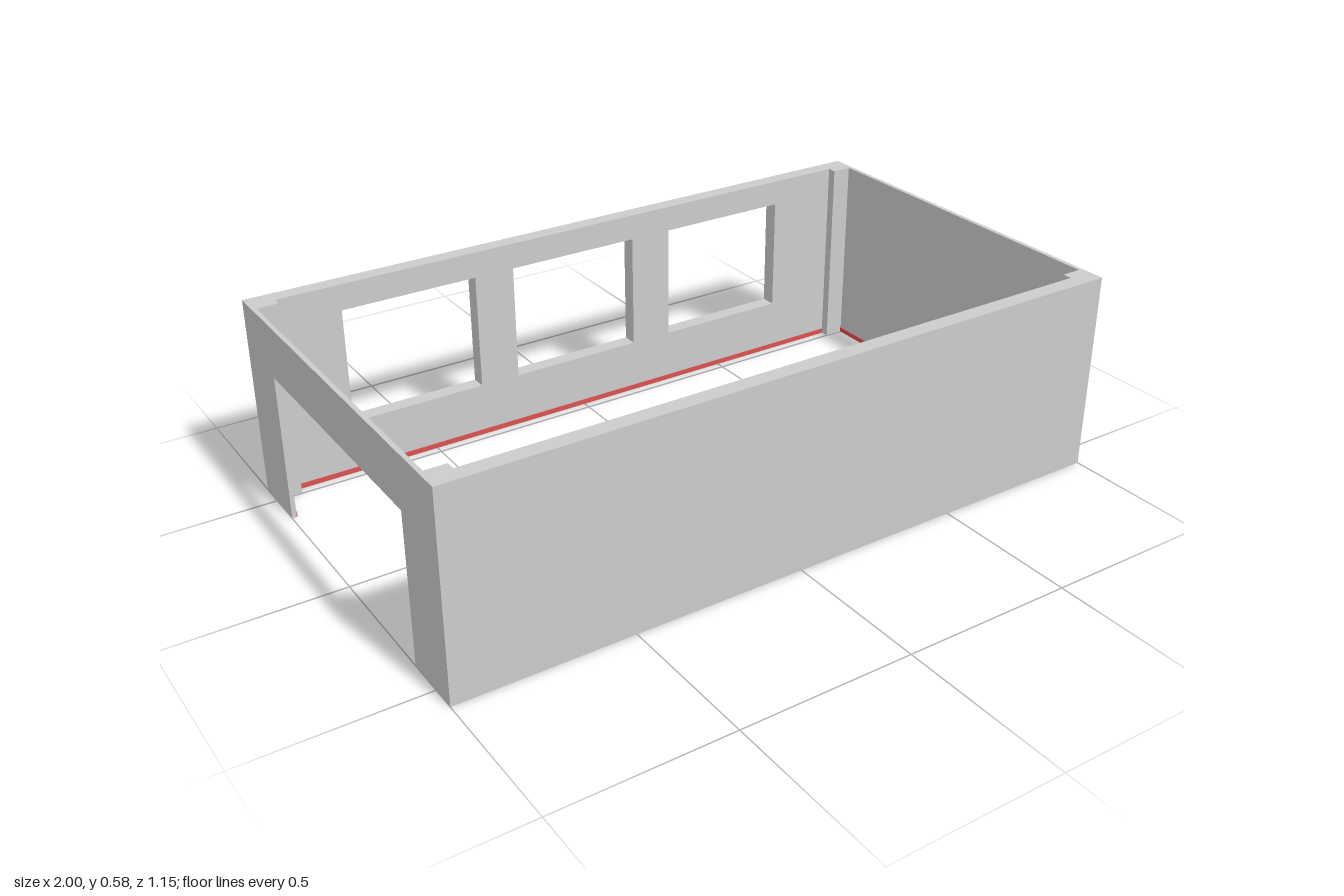
import * as THREE from 'three';

const W = 1, D = 0.573, H = 0.58;      // half width, half depth, height
const THICK = 0.046, THIN = 0.013;     // long walls, end walls
const POST_X = 0.928, POST_Z = 0.5;    // inner faces of the corner posts
const DOOR_Z = 0.39, DOOR_H = 0.428;   // opening in the left-hand end
const TRIM_H = 0.015, TRIM_T = 0.002;

const grey = new THREE.MeshStandardMaterial({ color: 0xcccccc, flatShading: true });
const red = new THREE.MeshStandardMaterial({ color: 0xd9534f });

// Box given by its minimum and maximum corners
function box(name, x0, x1, y0, y1, z0, z1, material = grey) {
  const geometry = new THREE.BoxGeometry(x1 - x0, y1 - y0, z1 - z0);
  geometry.translate((x0 + x1) / 2, (y0 + y1) / 2, (z0 + z1) / 2);
  const mesh = new THREE.Mesh(geometry, material);
  mesh.name = name;
  return mesh;
}

function polygon(points, Type = THREE.Shape) {
  return new Type(points.map(([x, y]) => new THREE.Vector2(x, y)));
}

function panel(name, shape, depth) {
  const mesh = new THREE.Mesh(new THREE.ExtrudeGeometry(shape, { depth, bevelEnabled: false }), grey);
  mesh.name = name;
  return mesh;
}

export function createModel() {
  const group = new THREE.Group();
  group.name = 'buildingStorey';

  // Solid long front wall and solid end wall
  group.add(box('frontWall', -W, W, 0, H, D - THICK, D));
  group.add(box('solidEndWall', W - THIN, W, 0, H, -D + THICK, D - THICK));

  // Back wall with three windows
  const back = polygon([[-W, 0], [W, 0], [W, H], [-W, H]]);
  for (const x of [-0.545, -0.02, 0.513]) {
    const l = x - 0.202, r = x + 0.202, b = 0.16, t = 0.504;
    back.holes.push(polygon([[l, b], [l, t], [r, t], [r, b]], THREE.Path));
  }
  const backWall = panel('backWall', back, THICK);
  backWall.position.z = -D;
  group.add(backWall);

  // End wall with a wide opening down to the ground
  const e = D - THICK;
  const endWall = panel('openEndWall', polygon([
    [-e, 0], [-DOOR_Z, 0], [-DOOR_Z, DOOR_H], [DOOR_Z, DOOR_H],
    [DOOR_Z, 0], [e, 0], [e, H], [-e, H],
  ]), THIN);
  endWall.rotation.y = Math.PI / 2;
  endWall.position.x = -W;
  group.add(endWall);

  // Inner corner posts and the base trim along the long walls
  for (const s of [-1, 1]) {
    const zs = [s * POST_Z, s * e].sort((a, b) => a - b);
    for (const t of [-1, 1]) {
      const xs = [t * POST_X, t * (W - THIN)].sort((a, b) => a - b);
      group.add(box('cornerPost', xs[0], xs[1], 0, H, zs[0], zs[1]));
    }
    const zt = [s * e, s * (e - TRIM_T)].sort((a, b) => a - b);
    group.add(box('longWallTrim', -POST_X, POST_X, 0, TRIM_H, zt[0], zt[1], red));

    // Short trim between post and opening
    const zd = [s * DOOR_Z, s * POST_Z].sort((a, b) => a - b);
    group.add(box('openEndTrim', -W + THIN, -W + THIN + TRIM_T, 0, TRIM_H, zd[0], zd[1], red));
  }
  group.add(box('solidEndTrim', W - THIN - TRIM_T, W - THIN, 0, TRIM_H, -POST_Z, POST_Z, red));

  return group;
}
